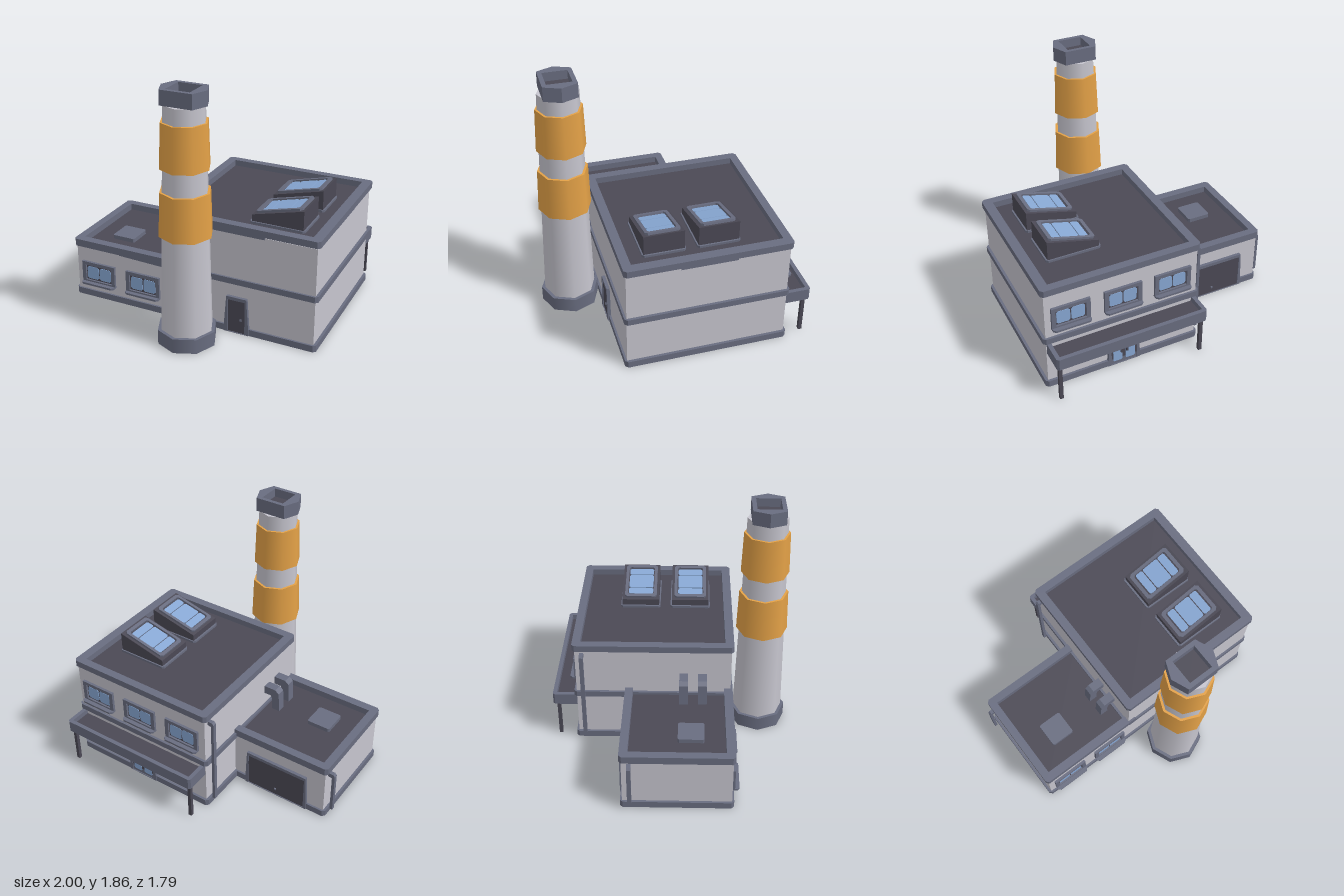
import * as THREE from 'three';

const mat = (name, color, side = THREE.FrontSide) => {
  const m = new THREE.MeshStandardMaterial({ color, side });
  m.name = name;
  return m;
};

export function createModel() {
  const wall = mat('wall grey', 0xc6c5ce);
  const trim = mat('slate trim', 0x696d80);
  const dark = mat('dark charcoal', 0x4b4955);
  const orange = mat('orange paint', 0xe3a147);
  const glass = mat('blue glass', 0x88a8d4);

  const model = new THREE.Group();
  model.name = 'factory';

  const add = (parent, name, geo, material) => {
    const m = new THREE.Mesh(geo, material);
    m.name = name;
    parent.add(m);
    return m;
  };
  const group = (parent, name, x = 0, y = 0, z = 0) => {
    const g = new THREE.Group();
    g.name = name;
    g.position.set(x, y, z);
    parent.add(g);
    return g;
  };
  const shapeOf = (pts, hole) => {
    const s = new THREE.Shape(pts.map(p => new THREE.Vector2(...p)));
    if (hole) s.holes.push(new THREE.Path(hole.map(p => new THREE.Vector2(...p))));
    return s;
  };
  // Box given by its limits
  const box = (parent, name, x0, x1, y0, y1, z0, z1, material) => {
    const g = new THREE.BoxGeometry(x1 - x0, y1 - y0, z1 - z0);
    g.translate((x0 + x1) / 2, (y0 + y1) / 2, (z0 + z1) / 2);
    return add(parent, name, g, material);
  };
  // Profile in x/y, extruded from z0 to z1
  const prism = (parent, name, pts, z0, z1, material, hole) => {
    const g = new THREE.ExtrudeGeometry(shapeOf(pts, hole), { depth: z1 - z0, bevelEnabled: false });
    g.translate(0, 0, z0);
    return add(parent, name, g, material);
  };
  // Plan outline in x/z, extruded from y0 to y1
  const slab = (parent, name, pts, y0, y1, material, hole) => {
    const g = new THREE.ExtrudeGeometry(shapeOf(pts, hole), { depth: y1 - y0, bevelEnabled: false });
    g.rotateX(Math.PI / 2);
    g.translate(0, y1, 0);
    return add(parent, name, g, material);
  };
  // Rectangle with cut corners
  const rect = (x0, x1, y0, y1, c = 0) => c === 0
    ? [[x0, y0], [x1, y0], [x1, y1], [x0, y1]]
    : [[x0 + c, y0], [x1 - c, y0], [x1, y0 + c], [x1, y1 - c],
      [x1 - c, y1], [x0 + c, y1], [x0, y1 - c], [x0, y0 + c]];

  // Main hall
  const hall = group(model, 'mainHall');
  const hallPlan = rect(-0.2, 1, -0.73, 0.465, 0.02);
  box(hall, 'hallWalls', -0.18, 0.98, 0.02, 0.79, -0.712, 0.45, wall);
  slab(hall, 'hallBaseTrim', hallPlan, 0, 0.05, trim);
  slab(hall, 'hallFloorTrim', hallPlan, 0.39, 0.435, trim);
  slab(hall, 'hallParapet', hallPlan, 0.8, 0.85, trim, rect(-0.135, 0.93, -0.67, 0.4));
  box(hall, 'hallRoof', -0.17, 0.97, 0.78, 0.803, -0.7, 0.44, dark);
  box(hall, 'frontLedge', 0.2, 0.6, 0.78, 0.802, 0.44, 0.458, trim);
  box(hall, 'sideLedge', 0.97, 0.988, 0.778, 0.802, -0.33, 0.07, trim);

  // Low wing; its right end runs into the hall
  const wing = group(model, 'lowWing');
  const wingPlan = [[-0.945, -0.345], [-0.12, -0.345], [-0.12, 0.465],
    [-0.945, 0.465], [-0.965, 0.445], [-0.965, -0.325]];
  box(wing, 'wingWalls', -0.947, -0.12, 0.02, 0.408, -0.33, 0.45, wall);
  slab(wing, 'wingBaseTrim', wingPlan, 0, 0.05, trim);
  slab(wing, 'wingParapet', wingPlan, 0.408, 0.465, trim, rect(-0.905, -0.15, -0.285, 0.4));
  box(wing, 'wingRoof', -0.94, -0.13, 0.4, 0.415, -0.32, 0.44, dark);
  prism(wing, 'wingLedge', [[-0.57, 0.41], [-0.57, 0.4], [-0.19, 0.388], [-0.19, 0.41]], 0.44, 0.458, trim);
  slab(wing, 'roofHatch', rect(-0.75, -0.565, 0.06, 0.25, 0.01), 0.41, 0.446, trim);

  // Bent roof ducts entering the hall wall
  const ductProfile = [[-0.315, 0.41], [-0.25, 0.41], [-0.25, 0.5], [-0.238, 0.535], [-0.17, 0.535],
    [-0.17, 0.6], [-0.275, 0.6], [-0.305, 0.575]];
  for (const z of [0.097, 0.237]) prism(wing, 'roofDuct', ductProfile, z - 0.033, z + 0.033, trim);

  // Drain pipes with a bend at the top
  const drain = (x, top, z) => prism(model, 'drainPipe', [[x, 0.05], [x + 0.022, 0.05],
    [x + 0.022, top - 0.035], [x + 0.055, top - 0.03], [x + 0.055, top],
    [x + 0.012, top], [x, top - 0.015]], z - 0.015, z + 0.015, trim);
  drain(-1, 0.39, -0.275);
  drain(-0.23, 0.775, -0.66);

  // Window: frame, dark lining, two panes and a sill, facing +z
  const windowUnit = (x, y, z, turn) => {
    const w = group(model, 'window', x, y, z);
    w.rotation.y = turn;
    prism(w, 'windowFrame', rect(-0.1425, 0.1425, 0, 0.18), -0.01, 0.02, trim,
      rect(-0.112, 0.112, 0.027, 0.153));
    box(w, 'windowLining', -0.115, 0.115, 0.025, 0.155, -0.01, 0.005, dark);
    for (const s of [-1, 1]) {
      const c = s * 0.054;
      prism(w, 'windowPane', rect(c - 0.05, c + 0.05, 0.037, 0.139, 0.012), 0.004, 0.009, glass);
    }
    slab(w, 'windowSill', [[-0.1425, 0], [0.1425, 0], [0.1425, 0.035], [0.125, 0.052],
      [-0.125, 0.052], [-0.1425, 0.035]], 0, 0.015, trim);
  };
  for (const x of [-0.757, -0.372]) windowUnit(x, 0.11, 0.45, 0);
  for (const x of [0.0175, 0.4025, 0.7925]) windowUnit(x, 0.5, -0.712, Math.PI);

  // Doorway with a flared frame, facing +z
  const doorway = (name, x, z, turn, half, flare, h) => {
    const d = group(model, name, x, 0, z);
    d.rotation.y = turn;
    const b = half + flare;
    prism(d, 'doorFrame', [[-b, 0.002], [-b, 0.05], [-half - 0.012, h], [half + 0.012, h],
      [b, 0.05], [b, 0.002]], -0.005, 0.024, trim, rect(-half, half, 0.006, h - 0.025));
    box(d, 'doorPanel', -half, half, 0.004, h - 0.02, -0.005, 0.0175, dark);
    return d;
  };
  const knob = (d, x, y) => box(d, 'doorKnob', x - 0.007, x + 0.007, y - 0.007, y + 0.007, 0.017, 0.028, trim);
  knob(doorway('sideDoor', 0.4, 0.45, 0, 0.066, 0.03, 0.29), 0.035, 0.115);
  knob(doorway('garageDoor', -0.55, -0.33, Math.PI, 0.24, 0.025, 0.3), 0, 0.06);
  const entry = doorway('glassEntrance', 0.4025, -0.712, Math.PI, 0.1, 0.025, 0.29);
  for (const s of [-1, 1]) {
    const c = s * 0.049;
    prism(entry, 'entrancePane', rect(c - 0.036, c + 0.036, 0.03, 0.25, 0.008), 0.017, 0.021, glass);
    box(entry, 'entranceHandle', s * 0.022 - 0.006, s * 0.022 + 0.006, 0.1, 0.17, 0.02, 0.03, dark);
  }

  // Entrance canopy: a shallow tray on two posts
  const canopy = group(model, 'canopy');
  slab(canopy, 'canopyRim', [[-0.175, -0.7], [-0.175, -0.885], [-0.16, -0.9], [0.96, -0.9],
    [0.975, -0.885], [0.975, -0.7]], 0.295, 0.385, trim, rect(-0.145, 0.945, -0.87, -0.705));
  box(canopy, 'canopyFloor', -0.16, 0.96, 0.3, 0.345, -0.885, -0.7, dark);
  for (const x of [-0.145, 0.945]) box(canopy, 'canopyPost', x - 0.013, x + 0.013, 0, 0.31, -0.872, -0.846, dark);

  // Sloping skylights
  for (const z of [0.14, -0.25]) {
    const s = group(model, 'skylight', 0, 0, z);
    slab(s, 'skylightFlange', rect(0.415, 0.827, -0.155, 0.155, 0.015), 0.8, 0.82, trim);
    prism(s, 'skylightBody', [[0.43, 0.8], [0.815, 0.8], [0.815, 0.965], [0.43, 0.869]], -0.145, 0.145, dark);
    const top = group(s, 'skylightTop', 0.6225, 0.917, 0);
    top.rotation.z = Math.atan2(0.096, 0.385);
    slab(top, 'skylightFrame', rect(-0.178, 0.178, -0.125, 0.125, 0.018), -0.004, 0.016, trim,
      rect(-0.15, 0.15, -0.102, 0.102, 0.012));
    for (const [x0, x1] of [[-0.138, -0.075], [-0.068, 0.069], [0.076, 0.139]])
      slab(top, 'skylightPane', rect(x0, x1, -0.096, 0.096, 0.01), 0, 0.007, glass);
  }

  // Eight-sided chimney with painted bands
  const chimney = group(model, 'chimney', 0.115, 0, 0.68);
  const ring = (name, y0, y1, r0, r1, material) => {
    const g = new THREE.CylinderGeometry(r1, r0, y1 - y0, 8);
    g.translate(0, (y0 + y1) / 2, 0);
    add(chimney, name, g, material);
  };
  ring('chimneyBase', 0, 0.11, 0.215, 0.215, trim);
  ring('chimneyShaft', 0.11, 1.75, 0.19, 0.147, wall);
  ring('lowerBand', 0.83, 1.15, 0.192, 0.181, orange);
  ring('upperBand', 1.315, 1.635, 0.177, 0.166, orange);
  slab(chimney, 'chimneyCap', [[-0.168, 0], [-0.119, -0.119], [0.119, -0.119], [0.168, 0],
    [0.119, 0.119], [-0.119, 0.119]], 1.75, 1.855, trim, rect(-0.088, 0.088, -0.088, 0.088));
  box(chimney, 'chimneyMouth', -0.09, 0.09, 1.74, 1.79, -0.09, 0.09, dark);

  return model;
}
